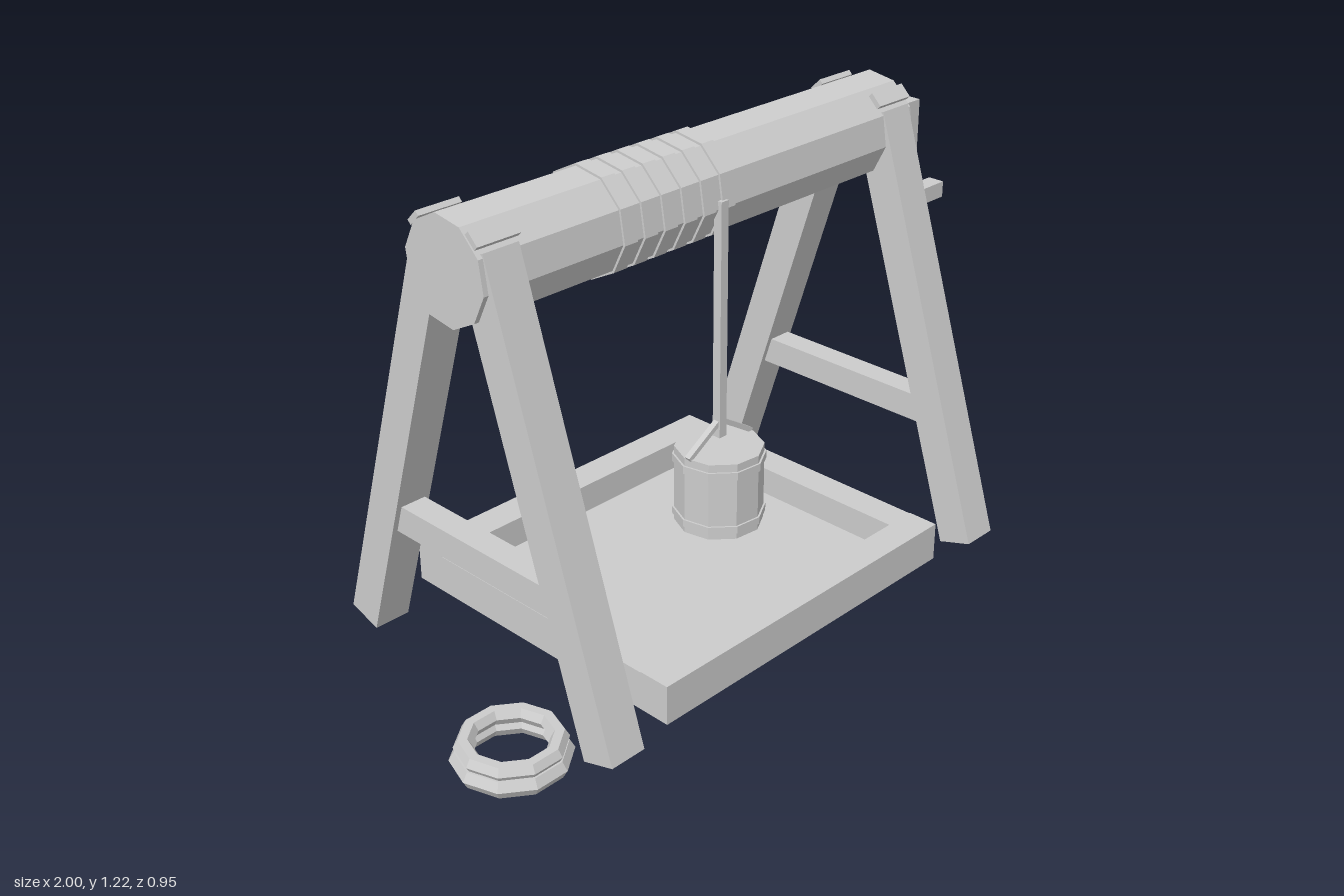
import * as THREE from 'three';

const grey = new THREE.MeshStandardMaterial({ color: 0xcccccc, flatShading: true });
grey.name = 'plain grey';
const deg = THREE.MathUtils.degToRad;

export function createModel() {
  const root = new THREE.Group();
  root.name = 'windlass';

  const add = (name, geometry, x = 0, y = 0, z = 0) => {
    const mesh = new THREE.Mesh(geometry, grey);
    mesh.name = name;
    mesh.position.set(x, y, z);
    root.add(mesh);
    return mesh;
  };
  // Box given by its limits on each axis
  const box = (name, x0, x1, y0, y1, z0, z1) =>
    add(name, new THREE.BoxGeometry(x1 - x0, y1 - y0, z1 - z0), (x0 + x1) / 2, (y0 + y1) / 2, (z0 + z1) / 2);
  // Square bar running between two points
  const bar = (name, a, b, width, depth) => {
    const from = new THREE.Vector3(...a), to = new THREE.Vector3(...b);
    const dir = to.clone().sub(from);
    const mesh = add(name, new THREE.BoxGeometry(width, dir.length(), depth));
    mesh.position.copy(from).add(to).multiplyScalar(0.5);
    mesh.quaternion.setFromUnitVectors(new THREE.Vector3(0, 1, 0), dir.normalize());
    return mesh;
  };
  // Ten-sided cylinder lying along x
  const roller = (name, x0, x1, r) => {
    const g = new THREE.CylinderGeometry(r, r, x1 - x0, 10, 1, false, deg(27));
    return add(name, g.rotateZ(Math.PI / 2), (x0 + x1) / 2, 1.09, 0);
  };

  // Drum with rope windings
  roller('drum', -0.74, 0.705, 0.131);
  for (let i = 0; i < 6; i++) {
    const x = -0.317 + i * 0.064;
    roller('ropeWinding', x - 0.02, x + 0.02, 0.137);
  }

  // A-frames: two splayed legs, cross brace and straps over the drum
  for (const x of [-0.677, 0.645]) {
    for (const s of [1, -1]) {
      bar('leg', [x, 0.02, 0.428 * s], [x, 1.145, 0.07 * s], 0.1, 0.097);
      const strap = add('strap', new THREE.BoxGeometry(0.12, 0.014, 0.04), x - 0.002, 1.186, 0.096 * s);
      strap.rotation.x = s * deg(45);
    }
    box('crossBrace', x - 0.035, x + 0.035, 0.325, 0.4, -0.29, 0.29);
  }

  // Crank
  box('crankAxle', 0.70, 0.875, 1.072, 1.11, -0.02, 0.02);
  box('crankArm', 0.838, 0.875, 0.82, 1.11, -0.02, 0.02);
  box('crankHandle', 0.86, 1.0, 0.8, 0.845, -0.024, 0.024);

  // Ground tray
  box('trayFront', -0.52, 0.485, 0.025, 0.13, 0.355, 0.44);
  box('trayBack', -0.52, 0.485, 0.025, 0.13, -0.46, -0.37);
  box('trayLeft', 0.4, 0.485, 0.025, 0.128, -0.37, 0.355);
  box('trayRight', -0.52, -0.435, 0.025, 0.128, -0.37, 0.355);
  box('trayFloor', -0.44, 0.405, 0.027, 0.05, -0.375, 0.36);

  // Hanging rope and bucket
  const bx = -0.016, bz = 0.127;
  box('rope', bx - 0.012, bx + 0.012, 0.47, 1.09, bz - 0.012, bz + 0.012);
  const tub = (name, r, y0, y1) =>
    add(name, new THREE.CylinderGeometry(r, r, y1 - y0, 10, 1, false, deg(12)), bx, (y0 + y1) / 2, bz);
  tub('bucket', 0.113, 0.235, 0.445);
  tub('bucketHoop', 0.118, 0.253, 0.272);
  tub('bucketHoop', 0.118, 0.403, 0.424);
  for (const s of [-1, 1]) {
    bar('bucketHandle', [bx + 0.112 * s, 0.445, bz], [bx, 0.515, bz], 0.013, 0.016);
  }

  // Coil of spare rope on the ground
  const coil = (r, tube, y) =>
    add('ropeCoil', new THREE.TorusGeometry(r, tube, 6, 10).rotateX(Math.PI / 2), -0.86, y, 0.293);
  coil(0.116, 0.025, 0.054);
  coil(0.108, 0.022, 0.087);

  return root;
}
